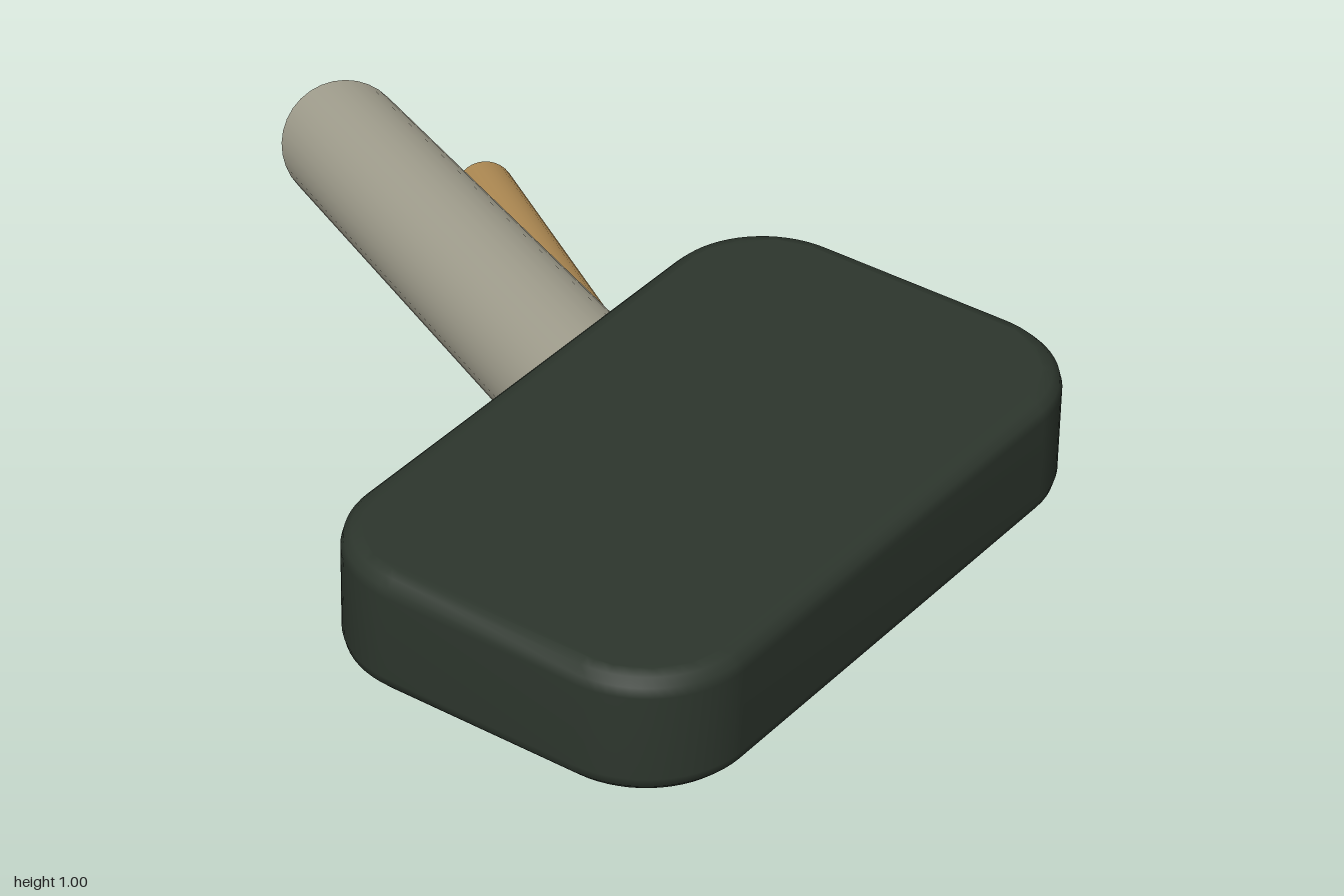
import * as THREE from 'three';
import { mergeVertices } from 'three/addons/utils/BufferGeometryUtils.js';

const material = (name, color) => {
  const m = new THREE.MeshStandardMaterial({ color });
  m.name = name;
  return m;
};

// Straight round rod between two points
function rod(name, from, to, radius, mat) {
  const a = new THREE.Vector3(...from), b = new THREE.Vector3(...to);
  const dir = b.clone().sub(a);
  const mesh = new THREE.Mesh(new THREE.CylinderGeometry(radius, radius, dir.length(), 32), mat);
  mesh.position.copy(a).add(b).multiplyScalar(0.5);
  mesh.quaternion.setFromUnitVectors(new THREE.Vector3(0, 1, 0), dir.normalize());
  mesh.name = name;
  return mesh;
}

// Slab with rounded corners in plan and softened rims, smooth all over
function roundedSlab(width, height, depth, radius, bevel) {
  const x = width / 2 - bevel, y = depth / 2 - bevel, r = radius - bevel;
  const s = new THREE.Shape();
  s.moveTo(-x + r, -y);
  s.absarc(x - r, -y + r, r, -Math.PI / 2, 0);
  s.absarc(x - r, y - r, r, 0, Math.PI / 2);
  s.absarc(-x + r, y - r, r, Math.PI / 2, Math.PI);
  s.absarc(-x + r, -y + r, r, Math.PI, Math.PI * 1.5);
  let g = new THREE.ExtrudeGeometry(s, {
    depth: height - 2 * bevel, bevelThickness: bevel, bevelSize: bevel,
    bevelSegments: 3, curveSegments: 8,
  });
  g.center();
  g.rotateX(-Math.PI / 2);
  g.deleteAttribute('normal');
  g.deleteAttribute('uv');
  g = mergeVertices(g, 1e-4);
  g.computeVertexNormals();
  return g;
}

export function createModel() {
  const stone = material('pale grey', 0xb0ad9b);
  const wood = material('tan wood', 0xc0985c);
  const dark = material('dark green', 0x2d362d);

  const model = new THREE.Group();
  model.name = 'mallet';

  // Head
  const head = new THREE.Mesh(roundedSlab(0.904, 0.166, 0.55, 0.14, 0.025), dark);
  head.position.set(-0.507, 0.917, 0.725);
  head.name = 'head';
  model.add(head);

  // Main pole and the thin rod branching from the same joint inside the head
  const joint = [-0.508, 0.895, 0.724];
  model.add(rod('pole', joint, [0.88, 0.092, -0.932], 0.097, stone));
  model.add(rod('sideRod', [-0.5, 0.89, 0.72], [0.875, 0.112, -0.655], 0.046, wood));
  return model;
}
